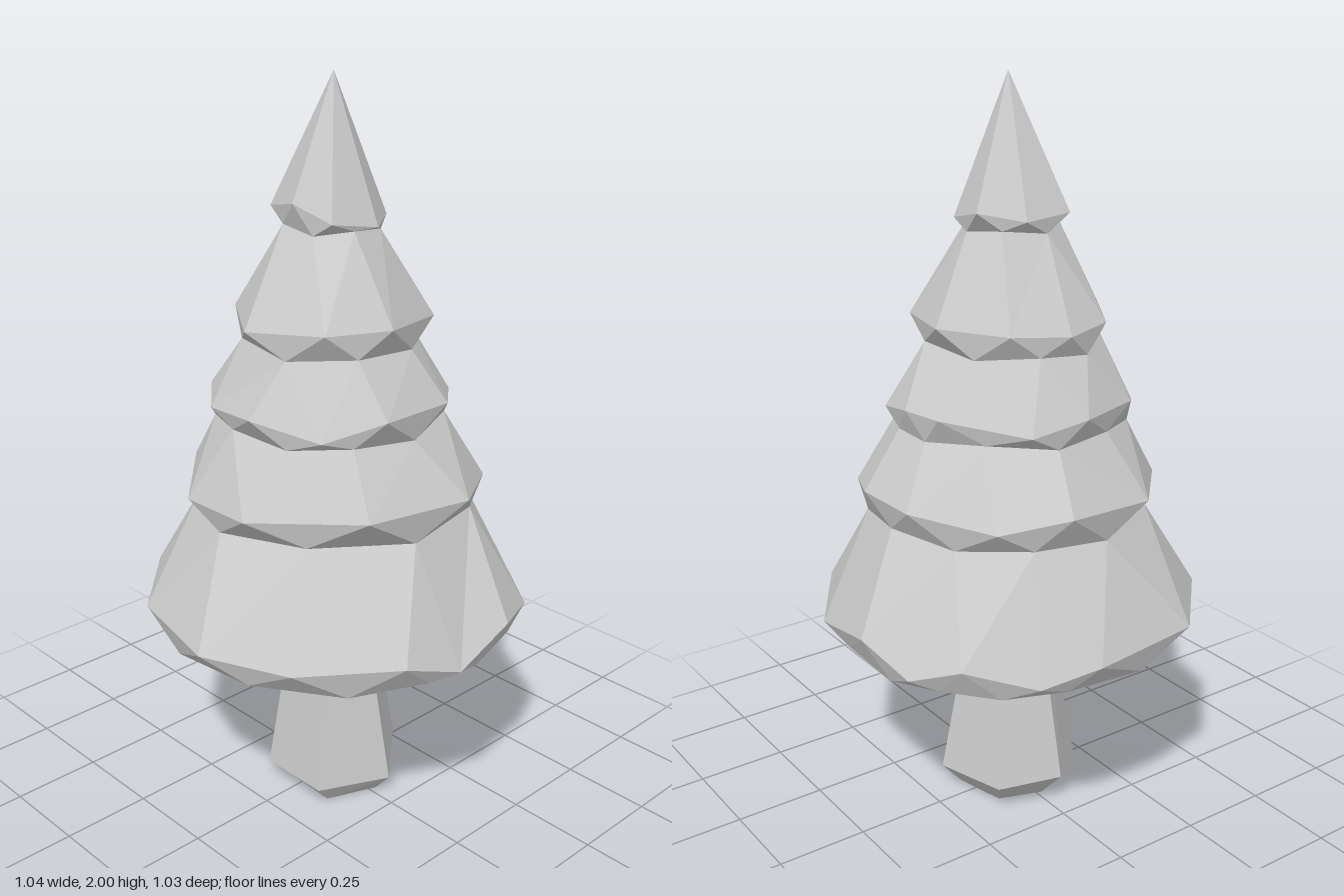
import * as THREE from 'three';

const TAU = Math.PI * 2;
const angle = (p) => (Math.atan2(p.z, p.x) + TAU) % TAU;

// Ring of [x, z, optional y] points, ordered by angle around the axis
function ring(points, y) {
  return points
    .map(([x, z, py]) => new THREE.Vector3(x, py ?? y, z))
    .sort((a, b) => angle(a) - angle(b));
}

// Narrower ring half a step round from the given one
function waist(rim, y, scale) {
  return rim
    .map((p, i) => {
      const q = rim[(i + 1) % rim.length];
      return new THREE.Vector3((p.x + q.x) / 2 * scale, y + (i % 2 ? 0.006 : -0.006), (p.z + q.z) / 2 * scale);
    })
    .sort((a, b) => angle(a) - angle(b));
}

// Same ring, scaled and moved to another height
const copyRing = (r, y, s, dz = 0) => r.map((p) => new THREE.Vector3(p.x * s, y, p.z * s + dz));

// Joins rings of differing point counts, bottom to top, with facets
function loft(rings) {
  const pos = [];
  const tri = (...pts) => pts.forEach((p) => pos.push(p.x, p.y, p.z));
  for (let k = 0; k < rings.length - 1; k++) {
    const lo = rings[k], up = rings[k + 1];
    const steps = (r) => (r.length > 1 ? r.length : 0);
    const at = (r, i) => r[i % r.length];
    const turn = (r, i) => angle(at(r, i)) + (i >= r.length ? TAU : 0);
    let i = 0, j = 0;
    while (i < steps(lo) || j < steps(up)) {
      const lower = j >= steps(up) || (i < steps(lo) && turn(lo, i + 1) <= turn(up, j + 1));
      if (lower) {
        tri(at(lo, i), at(up, j), at(lo, i + 1));
        i++;
      } else {
        tri(at(lo, i), at(up, j), at(up, j + 1));
        j++;
      }
    }
  }
  const geo = new THREE.BufferGeometry();
  geo.setAttribute('position', new THREE.Float32BufferAttribute(pos, 3));
  geo.computeVertexNormals();
  return geo;
}

// Rims of the branch tiers, lowest first
const tiers = [
  { waistY: 0.53, scale: 0.96, rimY: 0.6, rim: [
    [-0.24, -0.47], [0.09, -0.515], [0.24, -0.46, 0.56], [0.4, -0.35, 0.61], [0.48, -0.23, 0.56],
    [0.52, -0.07, 0.62], [0.49, 0.19, 0.56], [0.34, 0.42, 0.58], [0.17, 0.5, 0.61], [-0.03, 0.515, 0.55],
    [-0.2, 0.485, 0.61], [-0.42, 0.3], [-0.52, 0.06], [-0.45, -0.25]] },
  { waistY: 0.87, scale: 0.96, rimY: 0.94, rim: [
    [-0.17, -0.37], [0.1, -0.405, 0.96], [0.27, -0.32, 0.93], [0.4, -0.11, 0.95], [0.405, 0.09, 0.95],
    [0.33, 0.26, 0.92], [0.11, 0.4, 0.95], [-0.2, 0.35, 0.96], [-0.39, 0.09], [-0.365, -0.16, 0.92]] },
  { waistY: 1.115, scale: 0.97, rimY: 1.18, rim: [
    [-0.19, -0.265], [0, -0.33], [0.15, -0.3, 1.15], [0.31, -0.12], [0.33, 0], [0.3, 0.15, 1.15],
    [0.14, 0.29], [-0.1, 0.31, 1.19], [-0.23, 0.21, 1.14], [-0.32, 0.04], [-0.27, -0.17, 1.15]] },
  { waistY: 1.325, scale: 0.98, rimY: 1.39, rim: [
    [-0.13, -0.23], [0.01, -0.27, 1.38], [0.16, -0.22], [0.26, -0.04], [0.2, 0.18, 1.38],
    [-0.03, 0.255, 1.4], [-0.19, 0.18, 1.4], [-0.26, -0.04, 1.38]] },
  { waistY: 1.62, scale: 0.97, rimY: 1.66, rim: [
    [-0.08, -0.14], [0.06, -0.15, 1.65], [0.155, -0.07, 1.67], [0.13, 0.07, 1.64],
    [0.03, 0.14, 1.63], [-0.1, 0.11, 1.65], [-0.13, 0, 1.69]] },
];

export function createModel() {
  const group = new THREE.Group();
  group.name = 'pineTree';
  const material = new THREE.MeshStandardMaterial({ color: 0xcccccc, flatShading: true });
  const add = (name, rings) => {
    const mesh = new THREE.Mesh(loft(rings), material);
    mesh.name = name;
    group.add(mesh);
  };

  // Foliage: underside centre, tucked waist and flared rim per tier, then the tip
  const foliage = [[new THREE.Vector3(0.02, 0.5, 0)]];
  for (const t of tiers) {
    const rim = ring(t.rim, t.rimY);
    foliage.push(waist(rim, t.waistY, t.scale), rim);
  }
  foliage.push([new THREE.Vector3(0.01, 2, 0)]);
  add('foliage', foliage);

  // Trunk: bevelled foot tapering up into the foliage
  const foot = ring([[0.2, 0.06, 0.07], [0.03, 0.21, 0.05], [-0.17, 0.13, 0.06],
    [-0.16, -0.09, 0.05], [-0.02, -0.21, 0.09], [0.15, -0.15, 0.08]], 0.06);
  add('trunk', [
    [new THREE.Vector3(0, 0, 0.03)],
    copyRing(foot, 0, 0.7, 0.02),
    foot,
    copyRing(foot, 0.54, 0.58),
  ]);
  return group;
}
